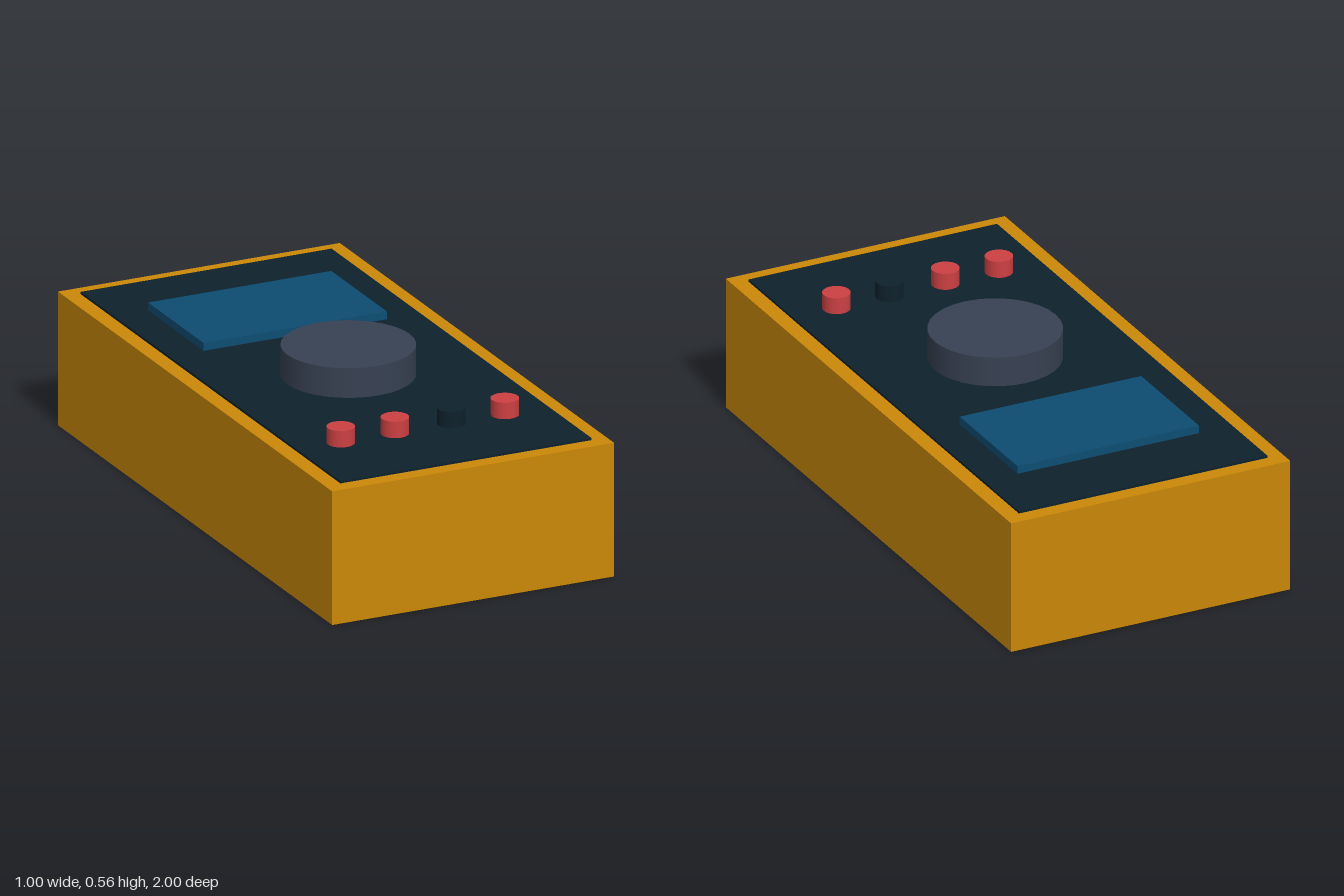
import * as THREE from 'three';

function material(name, color) {
  const m = new THREE.MeshStandardMaterial({ color });
  m.name = name;
  return m;
}

export function createModel() {
  const group = new THREE.Group();
  group.name = 'multimeter';

  const amber = material('amber casing', 0xca8808);
  const dark = material('dark panel', 0x0e212c);
  const blue = material('blue screen', 0x0d4c72);
  const slate = material('slate dial', 0x374152);
  const red = material('red socket', 0xcc4042);

  // Places a geometry so that it spans from bottom to top at x, z
  const add = (name, geometry, mat, x, bottom, top, z) => {
    const mesh = new THREE.Mesh(geometry, mat);
    mesh.name = name;
    mesh.position.set(x, (bottom + top) / 2, z);
    group.add(mesh);
  };
  const box = (name, mat, w, d, bottom, top, z) =>
    add(name, new THREE.BoxGeometry(w, top - bottom, d), mat, 0, bottom, top, z);
  const cylinder = (name, mat, r, sides, x, bottom, top, z) =>
    add(name, new THREE.CylinderGeometry(r, r, top - bottom, sides), mat, x, bottom, top, z);

  const panelTop = 0.464;

  // Casing, face panel and raised screen
  box('casing', amber, 1, 2, 0, 0.456, 0);
  box('facePanel', dark, 0.89, 1.894, 0.45, panelTop, 0);
  box('screen', blue, 0.65, 0.405, panelTop - 0.004, 0.491, -0.5);

  // Selector dial
  cylinder('selectorDial', slate, 0.217, 32, 0, panelTop - 0.004, 0.565, 0.09);

  // Row of probe sockets
  [[-0.292, red], [-0.1, red], [0.1, dark], [0.29, red]].forEach(([x, mat], i) => {
    cylinder(`probeSocket${i + 1}`, mat, 0.046, 20, x, panelTop - 0.004, 0.52, 0.635);
  });

  return group;
}
